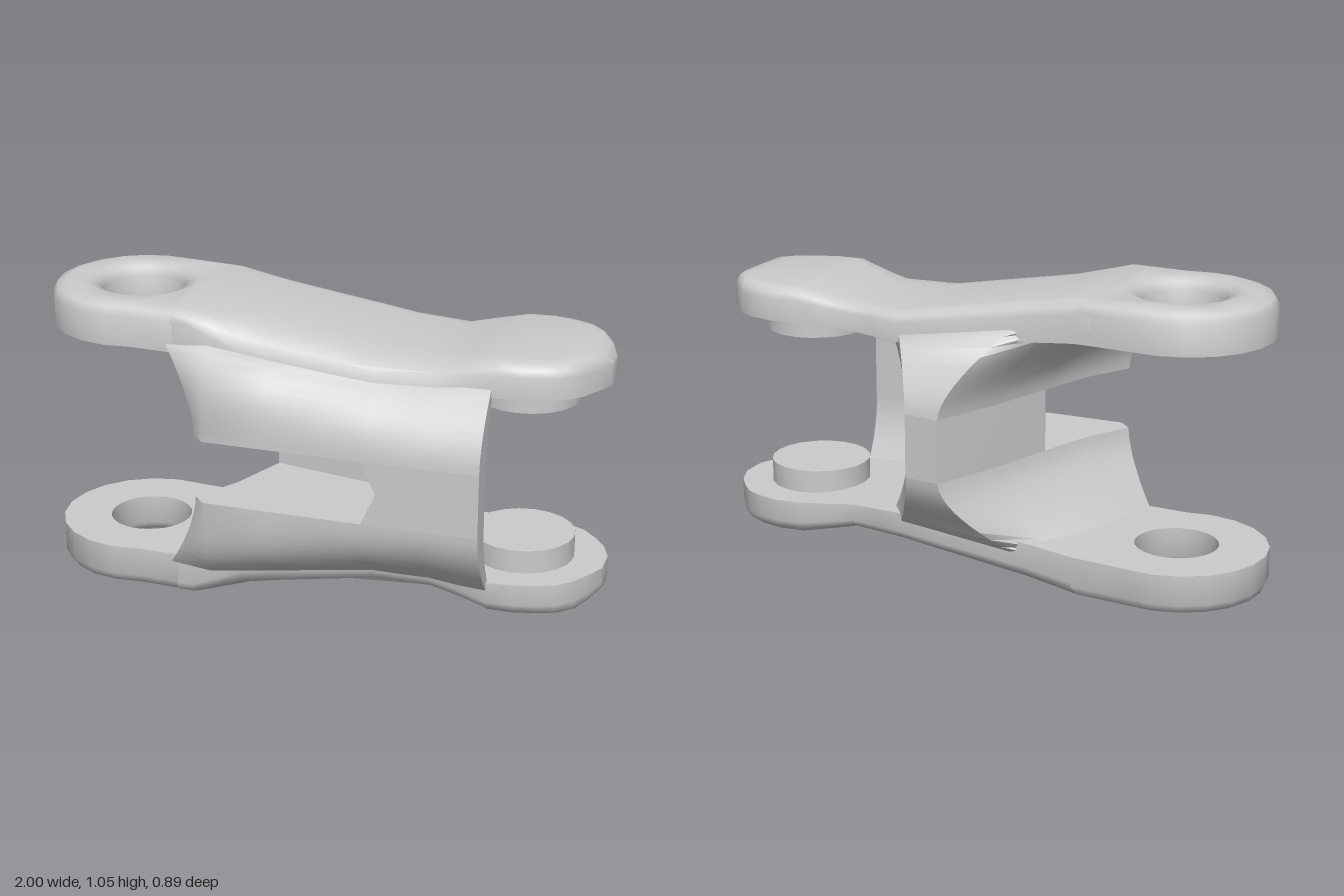
import * as THREE from 'three';
import { toCreasedNormals } from 'three/addons/utils/BufferGeometryUtils.js';

const MID = 0.525;   // height of the symmetry plane
const SLOT = 0.112;  // half height of the front slot
const material = new THREE.MeshStandardMaterial({ color: 0xcccccc });

// piecewise linear curve through [x, y] pairs
const curve = (pts) => (x) => {
  if (x <= pts[0][0]) return pts[0][1];
  for (let i = 1; i < pts.length; i++) {
    const [x0, y0] = pts[i - 1], [x1, y1] = pts[i];
    if (x <= x1) return y0 + (y1 - y0) * (x - x0) / (x1 - x0);
  }
  return pts[pts.length - 1][1];
};

// under and upper side of an arm, measured from the symmetry plane
const armUnder = curve([[-0.42, 0.378], [0.25, 0.31], [0.45, 0.32], [0.65, 0.333]]);
const armOver = curve([[-0.4, 0.525], [0.25, 0.415], [0.45, 0.415], [0.65, 0.455],
  [0.93, 0.455], [0.97, 0.44], [1, 0.415]]);

// flat coordinates of a loop lying in a level plane or across the x axis
const inPlan = ([x, , z]) => new THREE.Vector2(x, -z);
const inSection = ([, y, z]) => new THREE.Vector2(-z, y);

// skin over stacked loops of [x, y, z], with end caps
function loft(loops, flatten) {
  const n = loops[0].length, index = [];
  for (let l = 0; l < loops.length - 1; l++) {
    for (let i = 0; i < n; i++) {
      const a = l * n + i, b = l * n + (i + 1) % n;
      index.push(a, b, b + n, a, b + n, a + n);
    }
  }
  const cap = (l, flip) => {
    for (const [a, b, c] of THREE.ShapeUtils.triangulateShape(loops[l].map(flatten), [])) {
      index.push(l * n + a, l * n + (flip ? c : b), l * n + (flip ? b : c));
    }
  };
  cap(0, true);
  cap(loops.length - 1, false);
  const g = new THREE.BufferGeometry();
  g.setAttribute('position', new THREE.Float32BufferAttribute(loops.flat(2), 3));
  g.setIndex(index);
  return g;
}

// copy reflected through the symmetry plane, with the winding turned round
function mirrored(geometry) {
  const g = geometry.index ? geometry.toNonIndexed() : geometry.clone();
  const p = g.attributes.position, a = new THREE.Vector3(), b = new THREE.Vector3();
  for (let i = 0; i < p.count; i += 3) {
    a.fromBufferAttribute(p, i + 1);
    b.fromBufferAttribute(p, i + 2);
    p.setXYZ(i, p.getX(i), -p.getY(i), p.getZ(i));
    p.setXYZ(i + 1, b.x, -b.y, b.z);
    p.setXYZ(i + 2, a.x, -a.y, a.z);
  }
  return g;
}

// ring end of an arm, rounded on its outer side
function eyeGeometry() {
  const pts = [new THREE.Vector2(-0.4, -0.335), new THREE.Vector2(-0.4, 0.262)];
  for (let i = 0; i <= 12; i++) {
    const a = (0.42 + 1.16 * i / 12) * Math.PI;
    pts.push(new THREE.Vector2(-0.685 + 0.315 * Math.cos(a), -0.02 + 0.315 * Math.sin(a)));
  }
  const shape = new THREE.Shape(pts);
  shape.holes.push(new THREE.Path().absarc(-0.68, -0.02, 0.147, 0, Math.PI * 2, true));
  const g = new THREE.ExtrudeGeometry(shape, {
    depth: 0.72, bevelThickness: 0.28, bevelSize: 0.05, bevelOffset: -0.05,
    bevelSegments: 2, curveSegments: 12,
  });
  g.rotateX(-Math.PI / 2);
  // flatten the underside and follow the heights of the arm
  const p = g.attributes.position;
  for (let i = 0; i < p.count; i++) {
    const x = p.getX(i), low = armUnder(x);
    p.setY(i, low + Math.max(0, p.getY(i)) * (armOver(x) - low));
  }
  return g;
}

// beam and pad of an arm: x, front z, back z
const STATIONS = [
  [-0.46, 0.332, -0.269], [-0.4, 0.336, -0.263], [-0.32, 0.337, -0.256], [-0.22, 0.333, -0.25],
  [-0.1, 0.33, -0.255], [0.1, 0.32, -0.265], [0.25, 0.31, -0.27], [0.35, 0.305, -0.25],
  [0.45, 0.3, -0.232], [0.55, 0.3, -0.25], [0.65, 0.305, -0.262], [0.74, 0.295, -0.27],
  [0.82, 0.275, -0.25], [0.88, 0.25, -0.22], [0.93, 0.2, -0.165], [0.97, 0.13, -0.11], [1, 0.07, -0.03],
];
const frontBevel = curve([[-0.4, 0.05], [-0.2, 0.18], [0.45, 0.18], [0.68, 0.06]]);
const frontRise = curve([[-0.4, 0.28], [-0.2, 0.65], [0.45, 0.65], [0.68, 0.38]]);

function beamGeometry() {
  return loft(STATIONS.map(([x, zf, zb]) => {
    const low = armUnder(x), high = armOver(x), limit = 0.35 * (zf - zb);
    const edge = (z, width, rise, sign) => [0, 1, 2, 3].map((k) => {
      const a = k * Math.PI / 6;
      return [x, high - rise * (high - low) * (1 - Math.sin(a)), z + sign * width * (1 - Math.cos(a))];
    });
    return [[x, low, zf], [x, low, zb],
      ...edge(zb, Math.min(0.06, limit), 0.36, 1),
      ...edge(zf, Math.min(frontBevel(x), limit), frontRise(x), -1).reverse()];
  }), inSection);
}

// plan of the hollow body: x, z at the slot, x, z at the arm, and bend power
const PLAN = [
  [-0.355, 0.395, -0.5, 0.32, 1.6], [-0.31, 0.443, -0.33, 0.325, 4.5], [-0.1, 0.445, -0.1, 0.315, 3.5],
  [0.25, 0.445, 0.25, 0.295, 2.4], [0.45, 0.445, 0.45, 0.285, 2], [0.65, 0.44, 0.65, 0.285, 1.8],
  // right pocket
  [0.65, 0.355, 0.65, 0.255, 2], [0.45, 0.345, 0.52, 0.25, 2], [0.29, 0.345, 0.44, 0.21, 1.8],
  [0.28, 0.12, 0.39, 0.08, 1.7], [0.27, -0.05, 0.37, -0.05, 1.7], [0.22, -0.26, 0.32, -0.18, 1.7],
  // back web
  [0.14, -0.43, 0.25, -0.25, 1.7], [0.01, -0.45, -0.18, -0.24, 1.7],
  // left pocket
  [-0.1, -0.2, -0.34, -0.18, 1.7], [-0.18, 0.03, -0.44, 0, 1.7], [-0.26, 0.24, -0.49, 0.18, 1.7],
];

function bodyGeometry() {
  const loops = [];
  for (let l = 0; l <= 10; l++) {
    const t = l / 10;
    loops.push(PLAN.map(([xm, zm, xt, zt, power]) => {
      const w = t ** power, x = xm + (xt - xm) * w;
      const top = armUnder(x) + 0.4 * (armOver(x) - armUnder(x));
      return [x, SLOT + (top - SLOT) * t, zm + (zt - zm) * w];
    }));
  }
  return loft(loops, inPlan);
}

// parts level with the slot
function webGeometry() {
  const outline = PLAN.slice(9, 16);
  return loft([-SLOT, SLOT].map((y) => outline.map(([x, z]) => [x, y, z])), inPlan);
}

function bridgeGeometry() {
  return loft([-SLOT, 0, SLOT].map((y) => {
    const x = y === 0 ? 0.3 : 0.25;
    return [[x, 0.445], [0.45, 0.445], [0.65, 0.44], [0.65, 0.355], [0.45, 0.345], [x + 0.03, 0.345]]
      .map(([px, pz]) => [px, y, pz]);
  }), inPlan);
}

export function createModel() {
  const model = new THREE.Group();
  model.name = 'clevisLink';
  const add = (geometry, name, crease = 0.9) => {
    const mesh = new THREE.Mesh(toCreasedNormals(geometry, crease), material);
    mesh.name = name;
    mesh.position.y = MID;
    model.add(mesh);
  };
  const addPair = (geometry, name) => {
    add(geometry, 'upper' + name);
    add(mirrored(geometry), 'lower' + name);
  };

  addPair(eyeGeometry(), 'Eye');
  addPair(beamGeometry(), 'Arm');
  addPair(bodyGeometry(), 'Body');

  // round boss on the inside of each pad
  const boss = new THREE.CylinderGeometry(0.18, 0.18, 0.1, 20);
  boss.translate(0.71, 0.3, 0.02);
  addPair(boss, 'Boss');

  add(webGeometry(), 'backWeb');
  add(bridgeGeometry(), 'frontBridge');
  return model;
}
